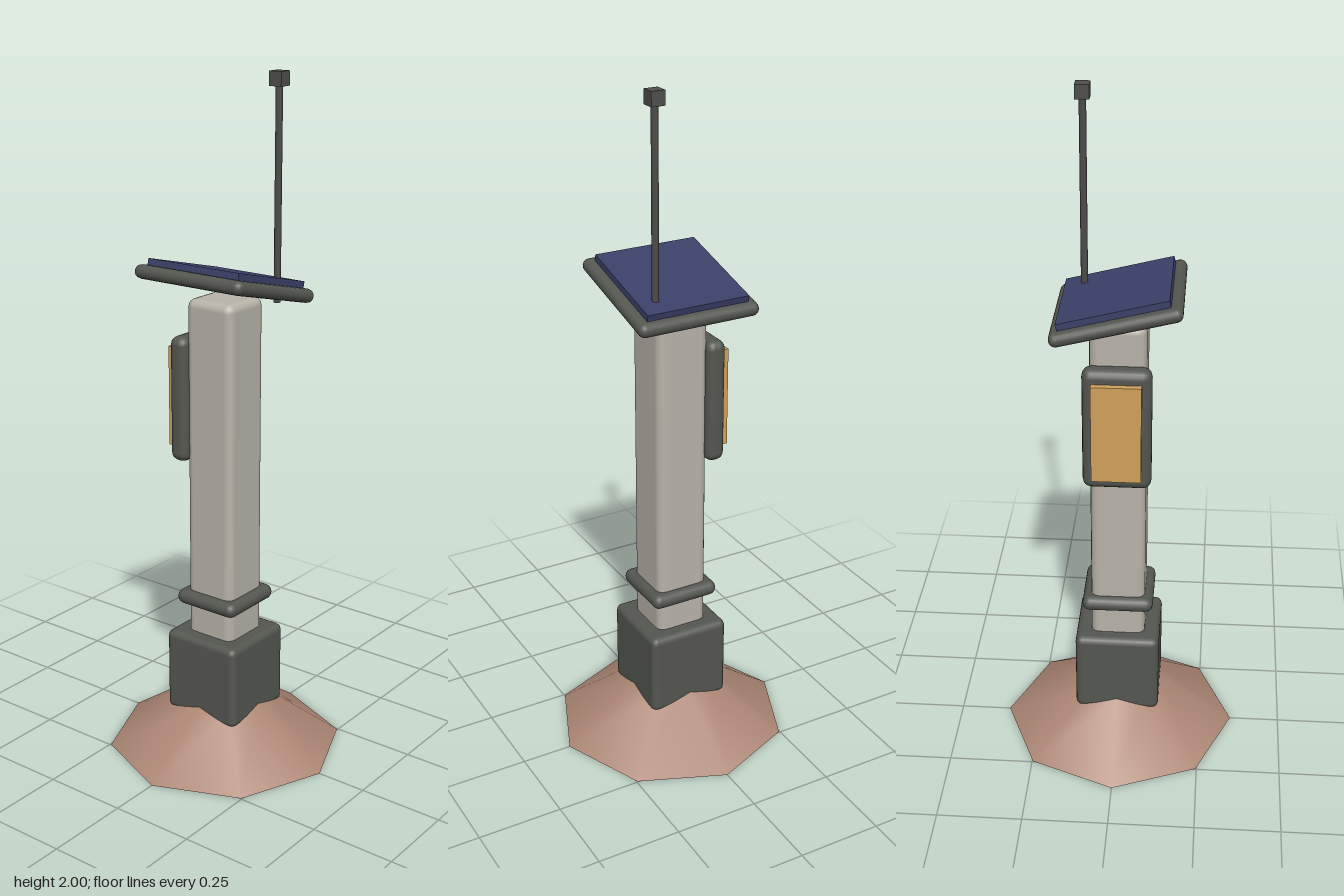
import * as THREE from 'three';
import { RoundedBoxGeometry } from 'three/addons/geometries/RoundedBoxGeometry.js';

const paint = (name, color) => {
  const m = new THREE.MeshStandardMaterial({ color });
  m.name = name;
  return m;
};

export function createModel() {
  const earth = paint('clay brown', 0xac8674);
  const dark = paint('dark grey', 0x545650);
  const stone = paint('pale stone', 0xb8b3a8);
  const mast = paint('mast grey', 0x4e4e4c);
  const blue = paint('panel blue', 0x3a4068);
  const amber = paint('amber', 0xd0a05a);

  const model = new THREE.Group();
  model.name = 'solarPost';

  const add = (name, geometry, material, x, y, z, parent = model) => {
    const mesh = new THREE.Mesh(geometry, material);
    mesh.name = name;
    mesh.position.set(x, y, z);
    parent.add(mesh);
    return mesh;
  };
  const rounded = (w, h, d, r) => new RoundedBoxGeometry(w, h, d, 2, r);

  // Ground mound: eight-sided, corners on the axes
  add('mound', new THREE.CylinderGeometry(0.12, 0.35, 0.16, 8), earth, 0, 0.08, 0);

  // Post, standing in its footing, with a collar
  add('footing', rounded(0.25, 0.255, 0.25, 0.02), dark, 0, 0.2475, 0);
  add('column', rounded(0.16, 1.085, 0.16, 0.025), stone, 0, 0.8425, 0);
  add('collar', rounded(0.21, 0.045, 0.21, 0.0224), dark, 0, 0.482, 0);

  // Side box with its cover plate, on the model's right
  add('sideBox', rounded(0.06, 0.37, 0.195, 0.025), dark, -0.1, 1.087, 0);
  add('sidePlate', new THREE.BoxGeometry(0.025, 0.295, 0.14), amber, -0.136, 1.087, 0);

  // Tilted tray carrying the solar panel, higher at the front
  const head = new THREE.Group();
  head.name = 'solarHead';
  head.position.set(0, 1.423, 0);
  head.rotation.x = -0.25;
  model.add(head);
  add('tray', rounded(0.37, 0.04, 0.37, 0.0199), dark, 0, 0, 0, head);
  add('solarPanel', new THREE.BoxGeometry(0.312, 0.024, 0.314), blue, 0, 0.027, 0, head);

  // Antenna at the back left corner
  add('antennaRod', new THREE.CylinderGeometry(0.01, 0.01, 0.605, 6), mast, 0.103, 1.6675, -0.105);
  add('antennaTip', new THREE.BoxGeometry(0.04, 0.04, 0.04), mast, 0.103, 1.98, -0.105);

  return model;
}
